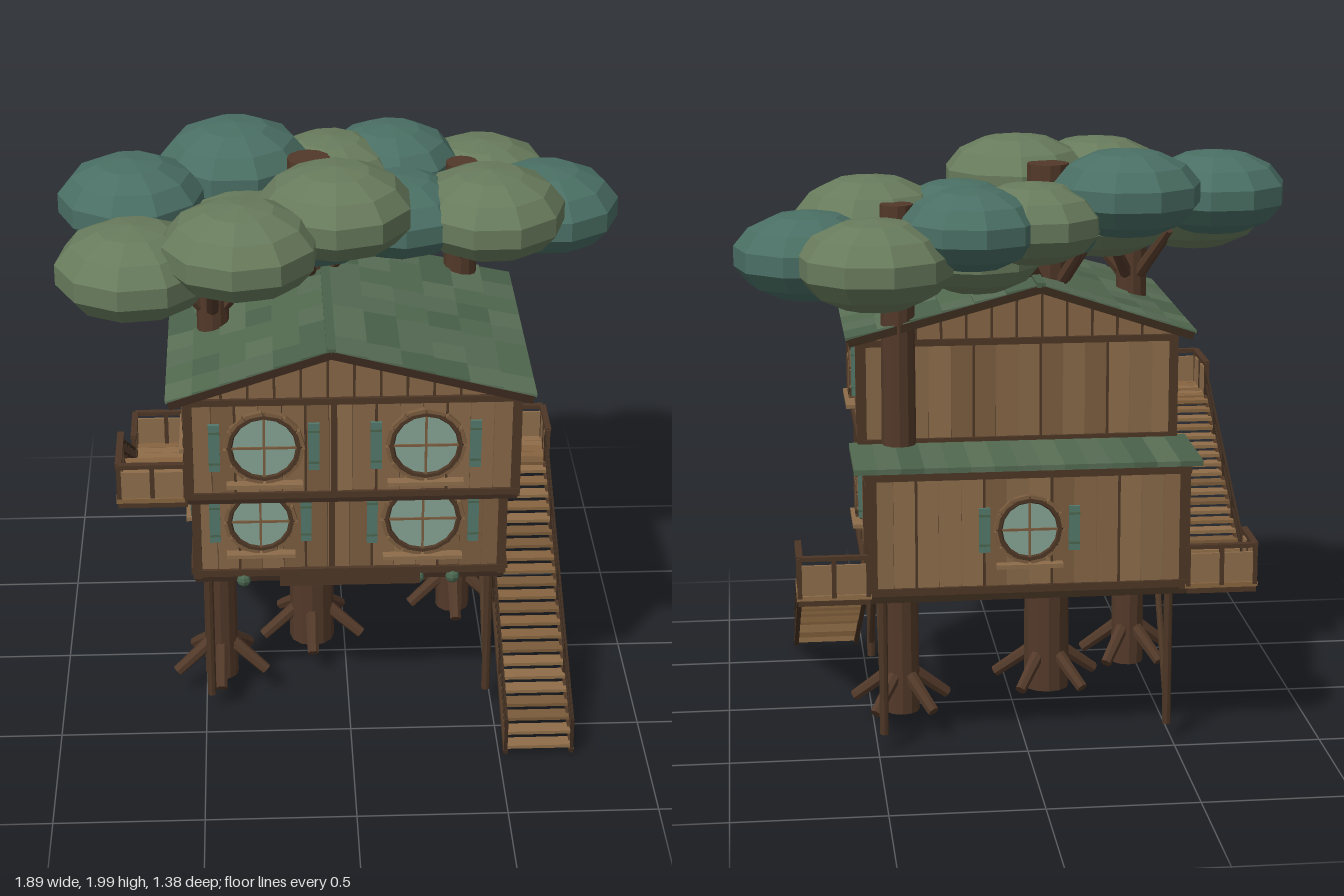
import * as THREE from 'three';

const mat = color => new THREE.MeshStandardMaterial({ color, flatShading: true });
const WALLS = [0x846545, 0x8d6d4b, 0x7b5d3f, 0x876847].map(mat);
const ROOFS = [0x52694f, 0x5a7056, 0x4b624a, 0x566b54].map(mat);
const DECKS = [0x86643f, 0x7b5b3a, 0x8f6d48].map(mat);
const TRIM = mat(0x4c3625), DARK = mat(0x3b2a1d), BARK = mat(0x523929);
const OLIVE = mat(0x687b5c), TEAL = mat(0x4a6f64), GLASS = mat(0x85a294), SHUTTER = mat(0x53776a), MOSS = mat(0x4a6650);

let seed = 7;
const rand = () => (seed = (seed * 16807) % 2147483647) / 2147483647;
const pick = list => list[Math.floor(rand() * list.length)];
const V = (x, y, z) => new THREE.Vector3(x, y, z);

function add(parent, name, geo, m, x = 0, y = 0, z = 0) {
  const mesh = new THREE.Mesh(geo, m);
  mesh.name = name;
  mesh.position.set(x, y, z);
  parent.add(mesh);
  return mesh;
}
const box = (p, name, w, h, d, x, y, z, m) => add(p, name, new THREE.BoxGeometry(w, h, d), m, x, y, z);
function group(parent, name, x = 0, y = 0, z = 0, ry = 0) {
  const g = new THREE.Group();
  g.name = name;
  g.position.set(x, y, z);
  g.rotation.y = ry;
  parent.add(g);
  return g;
}
// Square bar from a to b, in the parent's own frame
function bar(p, name, a, b, w, h, m) {
  const mesh = box(p, name, w, h, a.distanceTo(b), 0, 0, 0, m);
  mesh.position.copy(a).lerp(b, 0.5);
  mesh.quaternion.setFromRotationMatrix(new THREE.Matrix4().lookAt(b, a, V(0, 1, 0)));
}
// Tapered round limb from a to b
function limb(p, name, a, b, r0, r1, m, sides = 8) {
  const mesh = add(p, name, new THREE.CylinderGeometry(r1, r0, a.distanceTo(b), sides), m);
  mesh.position.copy(a).lerp(b, 0.5);
  mesh.quaternion.setFromUnitVectors(V(0, 1, 0), b.clone().sub(a).normalize());
}

// Row of upright planks from u0 to u1 with battens on the joints, facing local +z
function planks(p, u0, u1, y0, y1) {
  const n = Math.max(1, Math.round((u1 - u0) / 0.075)), w = (u1 - u0) / n;
  for (let i = 0; i < n; i++) {
    const u = u0 + (i + 0.5) * w;
    box(p, 'wallPlank', w * 0.97, y1 - y0, 0.02, u, (y0 + y1) / 2, -0.01 + rand() * 0.004, pick(WALLS));
    if (i % 3 === 1) box(p, 'batten', 0.008, y1 - y0, 0.012, u + w / 2, (y0 + y1) / 2, 0.002, TRIM);
  }
}

// Round window with ring, glazing bars, shutters and sill
function roundWindow(p, u, y, r) {
  const g = group(p, 'roundWindow', u, y, 0.008);
  const disc = add(g, 'glass', new THREE.CylinderGeometry(r, r, 0.016, 16), GLASS);
  disc.rotation.x = Math.PI / 2;
  add(g, 'windowRing', new THREE.TorusGeometry(r, 0.011, 6, 16), TRIM, 0, 0, 0.006);
  box(g, 'glazingBar', 0.008, 2 * r, 0.01, 0, 0, 0.008, WALLS[2]);
  box(g, 'glazingBar', 2 * r, 0.008, 0.01, 0, 0, 0.008, WALLS[2]);
  for (let i = 0; i < 12; i++) {
    const a = (i + 0.5) * Math.PI / 6;
    box(g, 'ringBlock', 0.014, r * 0.5, 0.02, Math.cos(a) * r * 1.08, Math.sin(a) * r * 1.08, 0.004, WALLS[2]).rotation.z = a;
  }
  for (const s of [-1, 1]) {
    box(g, 'shutter', 0.036, r * 1.5, 0.012, s * (r + 0.048), 0, 0.004, SHUTTER);
    for (const k of [-1, 1]) box(g, 'shutterStrap', 0.036, 0.008, 0.015, s * (r + 0.048), k * r * 0.5, 0.004, MOSS);
  }
  box(g, 'sill', r * 2.2, 0.014, 0.036, 0, -r - 0.022, 0.01, WALLS[1]);
}

// Railing: boarded low panel with posts and a top rail
function railing(p, a, b, h) {
  const n = Math.max(2, Math.round(a.distanceTo(b) / 0.1));
  for (let i = 0; i <= n; i++) {
    const q = a.clone().lerp(b, i / n);
    box(p, 'railPost', 0.015, h, 0.015, q.x, q.y + h / 2, q.z, TRIM);
  }
  const up = y => [a.clone().add(V(0, y, 0)), b.clone().add(V(0, y, 0))];
  bar(p, 'topRail', ...up(h), 0.022, 0.014, TRIM);
  bar(p, 'railPanel', ...up(h * 0.45), 0.01, h * 0.75, WALLS[1]);
}

// Straight stair along z with treads, stringers and thin side rails
function stair(root, name, x, width, foot, head, n, railH) {
  const g = group(root, name, x);
  const a = V(0, foot[1], foot[0]), b = V(0, head[1], head[0]);
  for (let i = 0; i < n; i++) {
    const q = a.clone().lerp(b, (i + 0.5) / n);
    box(g, 'tread', width - 0.02, 0.012, 0.05, 0, q.y + 0.012, q.z, pick(DECKS));
  }
  for (const s of [-1, 1]) {
    const at = (t, dy) => a.clone().lerp(b, t).add(V(s * (width / 2 - 0.01), dy, 0));
    bar(g, 'stringer', at(0, 0.004), at(1, 0.004), 0.016, 0.026, TRIM);
    for (let i = 0; i <= 4; i++) bar(g, 'railPost', at(i / 4, 0), at(i / 4, railH), 0.011, 0.011, DARK);
    for (const f of [0.55, 1]) bar(g, 'handRail', at(0, railH * f), at(1, railH * f), 0.008, 0.008, DARK);
  }
}

// Planked deck slab
function deck(p, x0, x1, z0, z1, y) {
  const n = Math.round((z1 - z0) / 0.04), d = (z1 - z0) / n;
  for (let i = 0; i < n; i++) box(p, 'deckBoard', x1 - x0, 0.016, d * 0.94, (x0 + x1) / 2, y, z0 + (i + 0.5) * d, pick(DECKS));
  box(p, 'deckFrame', x1 - x0 - 0.01, 0.02, z1 - z0 - 0.01, (x0 + x1) / 2, y - 0.017, (z0 + z1) / 2, TRIM);
}

function tree(root, x, z, r, top) {
  const g = group(root, 'tree', x, 0, z);
  limb(g, 'trunk', V(0, 0.07, 0), V(0, top, 0), r * 1.06, r * 0.95, BARK, 12);
  for (let i = 0; i < 5; i++) {
    const a = Math.PI / 2 + i * Math.PI * 0.4, c = Math.cos(a), s = Math.sin(a);
    limb(g, 'root', V(c * r * 0.6, 0.21, s * r * 0.6), V(c * (r + 0.11), 0.105, s * (r + 0.11)), 0.024, 0.02, BARK, 7);
    limb(g, 'branch', V(c * r * 0.5, 1.5, s * r * 0.5), V(c * 0.18, 1.68, s * 0.18), 0.024, 0.016, BARK, 7);
  }
}

export function createModel() {
  const root = new THREE.Group();
  root.name = 'treeHouse';

  // Trees: x, z, radius, top
  for (const t of [[-0.445, 0.21, 0.055, 1.76], [-0.12, -0.02, 0.075, 1.93], [0.405, -0.21, 0.058, 1.83]]) tree(root, ...t);

  // Leaf clusters: x, y, z, radius, teal or olive
  const leaves = [
    [-0.365, 1.85, -0.18, 0.255, 1], [-0.705, 1.815, 0.04, 0.248, 1], [-0.69, 1.715, 0.37, 0.26, 0],
    [-0.35, 1.81, 0.44, 0.258, 0], [-0.04, 1.85, 0.23, 0.258, 0], [0.18, 1.74, 0.01, 0.235, 1],
    [0.17, 1.77, -0.37, 0.235, 1], [0.49, 1.67, -0.44, 0.258, 0], [0.695, 1.665, -0.21, 0.254, 1],
    [0.48, 1.745, 0.02, 0.258, 0], [-0.04, 1.77, -0.28, 0.235, 0], [-0.33, 1.72, 0.13, 0.235, 0],
    [-0.1, 1.71, 0.02, 0.22, 1], [0.14, 1.65, -0.18, 0.22, 0]];
  leaves.forEach(([x, y, z, r, teal], i) => {
    const leaf = add(root, 'leafCluster', new THREE.SphereGeometry(r, 10, 7), teal ? TEAL : OLIVE, x, y, z);
    leaf.scale.y = 0.585;
    leaf.rotation.y = i * 0.7;
  });

  // Support posts and braces
  for (const s of [-1, 1]) for (const [z, zb] of [[0.355, 0], [-0.445, -0.19]]) {
    limb(root, 'supportPost', V(s * 0.48, 0.07, z), V(s * 0.48, 0.57, z), 0.015, 0.015, TRIM);
    limb(root, 'brace', V(s * 0.48, 0.12, z), V(s * 0.48, 0.56, zb), 0.011, 0.011, TRIM);
  }

  // Lower storey, with an open doorway at the back of each side
  const low = group(root, 'lowerStorey');
  box(low, 'floor', 1.05, 0.03, 0.94, 0, 0.575, -0.065, DARK);
  const front = group(low, 'frontWall', 0, 0, 0.4);
  planks(front, -0.52, 0.52, 0.58, 1);
  roundWindow(front, -0.3, 0.8, 0.105);
  roundWindow(front, 0.245, 0.8, 0.122);
  box(front, 'blankSign', 0.475, 0.065, 0.016, 0, 0.585, 0.022, TRIM);
  const back = group(low, 'backWall', 0, 0, -0.525, Math.PI);
  planks(back, -0.52, 0.52, 0.58, 1);
  roundWindow(back, 0, 0.8, 0.1);
  for (const s of [-1, 1]) {
    const side = group(low, 'sideWall', s * 0.52, 0, 0, s * Math.PI / 2);
    const span = (a, b) => s > 0 ? [-b, -a] : [a, b];
    planks(side, ...span(-0.33, 0.4), 0.58, 1);
    planks(side, ...span(-0.53, -0.33), 0.93, 1);
    roundWindow(side, -s * 0.075, 0.8, 0.1);
    for (const z of [-0.335, -0.52]) box(low, 'doorPost', 0.03, 0.4, 0.02, s * 0.52, 0.78, z, TRIM);
    box(low, 'doorLintel', 0.03, 0.02, 0.19, s * 0.52, 0.93, -0.43, TRIM);
    for (const z of [0.395, -0.52]) box(low, 'cornerPost', 0.03, 0.43, 0.03, s * 0.515, 0.79, z, TRIM);
    for (const y of [0.6, 0.985]) box(low, 'sideBeam', 0.025, 0.025, y > 0.9 ? 0.94 : 0.73, s * 0.525, y, y > 0.9 ? -0.065 : 0.035, TRIM);
  }
  for (const z of [0.4, -0.525]) for (const y of [0.595, 0.985]) box(low, 'crossBeam', 1.06, 0.025, 0.025, 0, y, z, TRIM);
  box(low, 'centrePost', 0.02, 0.42, 0.02, -0.06, 0.79, 0.4, TRIM);
  box(low, 'ceiling', 1.04, 0.015, 0.93, 0, 0.985, -0.065, DARK);
  box(low, 'chest', 0.1, 0.2, 0.08, 0.1, 0.69, -0.46, WALLS[2]);
  box(low, 'books', 0.08, 0.04, 0.05, 0.1, 0.8, -0.44, SHUTTER);
  for (let i = 0; i < 15; i++) box(low, 'lowerRoofBoard', 0.0765, 0.018, 0.36, -0.535 + i * 0.0764, 1.008, -0.365, pick(ROOFS));
  for (const x of [-0.36, -0.18, -0.02, 0.11, 0.23, 0.35]) for (const y of [0.98, 0.565])
    add(low, 'leafBall', new THREE.SphereGeometry(0.026, 8, 6), MOSS, x, y, 0.4);

  // Upper storey, overhanging the front
  const up = group(root, 'upperStorey');
  box(up, 'upperFloor', 1.07, 0.025, 0.83, 0, 1.005, 0.215, DARK);
  const ridge = V(-0.07, 1.55, 0);
  const gable = new THREE.Shape([[-0.53, 1.35], [0.53, 1.35], [0.53, 1.385], [-0.07, 1.545], [-0.53, 1.39]].map(p => new THREE.Vector2(...p)));
  for (const [z, ry] of [[0.62, 0], [-0.2, Math.PI]]) {
    const wall = group(up, ry ? 'backWall' : 'frontWall', 0, 0, z, ry);
    planks(wall, -0.53, 0.53, 1.01, 1.36);
    add(up, 'gable', new THREE.ExtrudeGeometry(gable, { depth: 0.02, bevelEnabled: false }), WALLS[0], 0, 0, ry ? z : z - 0.02);
    for (let x = -0.42; x < 0.5; x += 0.085) {
      const h = 0.02 + (x < -0.07 ? (x + 0.53) / 0.46 : (0.53 - x) / 0.6) * 0.155;
      box(up, 'gableBatten', 0.008, h, 0.012, x, 1.36 + h / 2, z, TRIM);
    }
    for (const y of [1.02, 1.36]) box(up, 'crossBeam', 1.08, 0.022, 0.025, 0, y, z, TRIM);
    if (!ry) {
      roundWindow(wall, -0.285, 1.2, 0.112);
      roundWindow(wall, 0.235, 1.2, 0.112);
      box(wall, 'centrePost', 0.02, 0.35, 0.02, -0.06, 1.19, 0.002, TRIM);
    }
  }
  for (const s of [-1, 1]) {
    const side = group(up, 'sideWall', s * 0.53, 0, 0, s * Math.PI / 2);
    planks(side, ...(s > 0 ? [-0.62, 0.2] : [-0.2, 0.62]), 1.01, 1.37);
    roundWindow(side, -s * 0.27, 1.2, 0.116);
    for (const z of [0.615, -0.195]) box(up, 'cornerPost', 0.03, 0.36, 0.03, s * 0.528, 1.18, z, TRIM);
    for (const y of [1.02, 1.36]) box(up, 'sideBeam', 0.025, 0.022, 0.83, s * 0.532, y, 0.21, TRIM);

    // Shingled roof slope
    const eave = V(s * 0.58 - 0.006, 1.38, 0), len = eave.distanceTo(ridge), rows = 6, cols = 8;
    const slope = group(up, 'roofSlope', ridge.x, ridge.y, 0.205);
    slope.rotation.z = Math.atan2(eave.y - ridge.y, s * (eave.x - ridge.x)) * s;
    box(slope, 'roofDeck', len, 0.016, 0.93, s * len / 2, -0.006, 0, DARK);
    for (let i = 0; i < rows; i++) for (let j = 0; j < cols; j++) {
      const shingle = box(slope, 'shingle', len / rows + 0.012, 0.01, 0.935 / cols, s * (i + 0.5) * len / rows, 0.007, (j - 3.5) * 0.935 / cols, pick(ROOFS));
      shingle.rotation.z = s * 0.05;
    }
    for (const z of [0.463, -0.463]) box(slope, 'bargeBoard', len, 0.026, 0.014, s * len / 2, -0.006, z, DARK);
  }
  box(up, 'ridgeCap', 0.03, 0.016, 0.94, ridge.x, 1.558, 0.205, ROOFS[2]);

  // Landings and upper balcony with railings
  for (const s of [-1, 1]) {
    const g = group(root, 'landing');
    deck(g, s > 0 ? 0.52 : -0.765, s > 0 ? 0.765 : -0.52, -0.54, -0.33, 0.585);
    railing(g, V(s * 0.755, 0.585, -0.53), V(s * 0.755, 0.585, -0.34), 0.135);
    railing(g, V(s * 0.53, 0.585, -0.532), V(s * 0.755, 0.585, -0.532), 0.135);
  }
  const balcony = group(root, 'balcony');
  deck(balcony, -0.765, -0.53, 0.38, 0.625, 1.005);
  railing(balcony, V(-0.755, 1.005, 0.39), V(-0.755, 1.005, 0.615), 0.125);
  railing(balcony, V(-0.54, 1.005, 0.615), V(-0.755, 1.005, 0.615), 0.125);

  // Stairs to the ground and up to the balcony
  stair(root, 'groundStair', 0.635, 0.245, [0.675, 0.016], [-0.34, 0.575], 22, 0.135);
  stair(root, 'upperStair', -0.65, 0.225, [-0.33, 0.58], [0.38, 1], 18, 0.1);
  return root;
}
